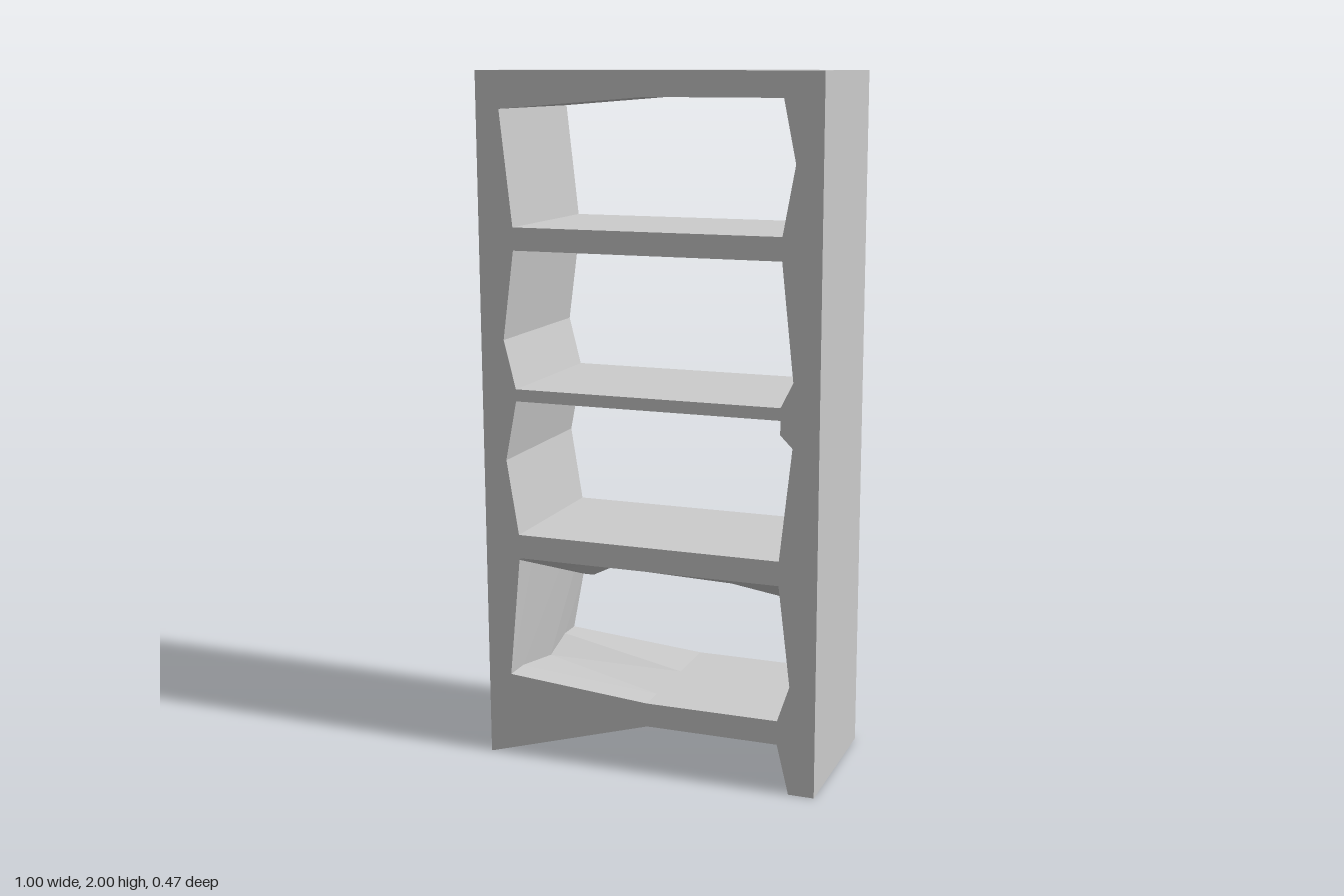
import * as THREE from 'three';

// Depth stations from front (0) to back (1); dip marks the valley in the worn left-hand corner
const HALF = 0.2325;
const STATIONS = [[HALF, 0], [0.15, 0], [-0.05, 1], [-0.16, 0], [-HALF, 0]];

// Each loop runs counter-clockwise: front outline, optional back outline,
// and dips (point index -> height reached in the valley)
const OUTER = {
  name: 'outerShell',
  front: [[-0.5, 0], [-0.495, 0], [0, 0.145], [0.39, 0.145], [0.425, 0], [0.5, 0],
    [0.5, 2], [-0.5, 2], [-0.5, 1.89], [-0.5, 1.885]],
  back: [[-0.5, 0], [-0.43, 0], [0, 0.145], [0.39, 0.145], [0.425, 0], [0.5, 0],
    [0.5, 2], [-0.5, 2], [-0.46, 1.905], [-0.5, 1.9]],
  dips: { 0: 0.143, 1: 0.145 },
};
const OPENINGS = [
  {
    name: 'bottomOpening',
    front: [[-0.43, 0.25], [0, 0.215], [0.39, 0.215], [0.425, 0.32], [0.42, 0.36],
      [0.416, 0.395], [0.39, 0.61], [0, 0.61], [-0.39, 0.61], [-0.395, 0.605]],
    back: [[-0.43, 0.25], [0, 0.215], [0.39, 0.215], [0.425, 0.32], [0.39, 0.36],
      [0.39, 0.395], [0.355, 0.395], [0, 0.61], [-0.36, 0.43], [-0.395, 0.43]],
    dips: { 0: 0.215 },
  },
  {
    name: 'lowerMiddleOpening',
    front: [[-0.395, 0.68], [0.39, 0.68], [0.425, 1.0], [0.39, 1.035], [0.39, 1.075],
      [-0.395, 1.075], [-0.43, 0.9]],
  },
  {
    name: 'upperMiddleOpening',
    front: [[-0.395, 1.11], [0.39, 1.11], [0.425, 1.18], [0.39, 1.505], [-0.395, 1.505],
      [-0.43, 1.25]],
  },
  {
    name: 'topOpening',
    front: [[-0.395, 1.57], [0.39, 1.57], [0.425, 1.76], [0.39, 1.93], [0, 1.93],
      [-0.43, 1.895]],
  },
];

// The whole case leans very slightly forward
const lean = (y) => (y - 1) * 0.005;

// Cross-section of a loop at one depth station
function section(loop, [z, dip]) {
  const t = (HALF - z) / (2 * HALF);
  const back = loop.back || loop.front;
  return loop.front.map(([x, y], i) => {
    let py = THREE.MathUtils.lerp(y, back[i][1], t);
    if (dip && loop.dips && i in loop.dips) py = loop.dips[i];
    return [THREE.MathUtils.lerp(x, back[i][0], t), py, z + lean(py)];
  });
}

// Walls joining the cross-sections of a loop; inward for openings
function wallGeometry(loop, inward) {
  const rings = STATIONS.map((s) => section(loop, s));
  const pos = [];
  for (let k = 0; k < rings.length - 1; k++) {
    const a = rings[k], b = rings[k + 1];
    for (let i = 0; i < a.length; i++) {
      const j = (i + 1) % a.length;
      const tris = [a[i], b[i], a[j], a[j], b[i], b[j]];
      if (inward) tris.reverse();
      tris.forEach((p) => pos.push(...p));
    }
  }
  const g = new THREE.BufferGeometry();
  g.setAttribute('position', new THREE.Float32BufferAttribute(pos, 3));
  g.computeVertexNormals();
  return g;
}

// Front or back frame face, pierced by the openings
function faceGeometry(side) {
  const outline = (loop) => ((side < 0 && loop.back) || loop.front).map(([x, y]) => new THREE.Vector2(x, y));
  const shape = new THREE.Shape(outline(OUTER));
  shape.holes = OPENINGS.map((o) => new THREE.Path(outline(o)));
  const g = new THREE.ShapeGeometry(shape);
  const p = g.attributes.position;
  for (let i = 0; i < p.count; i++) p.setZ(i, side * HALF + lean(p.getY(i)));
  if (side < 0) g.setIndex(Array.from(g.index.array).reverse());
  g.computeVertexNormals();
  return g;
}

export function createModel() {
  const group = new THREE.Group();
  group.name = 'bookcase';
  const material = new THREE.MeshStandardMaterial({ color: 0xcccccc, flatShading: true });
  const add = (name, geometry) => {
    const mesh = new THREE.Mesh(geometry, material);
    mesh.name = name;
    group.add(mesh);
  };

  add('frontFrame', faceGeometry(1));
  add('backFrame', faceGeometry(-1));
  add(OUTER.name, wallGeometry(OUTER, false));
  // Shelf tops, undersides and inner side walls
  OPENINGS.forEach((o) => add(o.name, wallGeometry(o, true)));
  return group;
}
